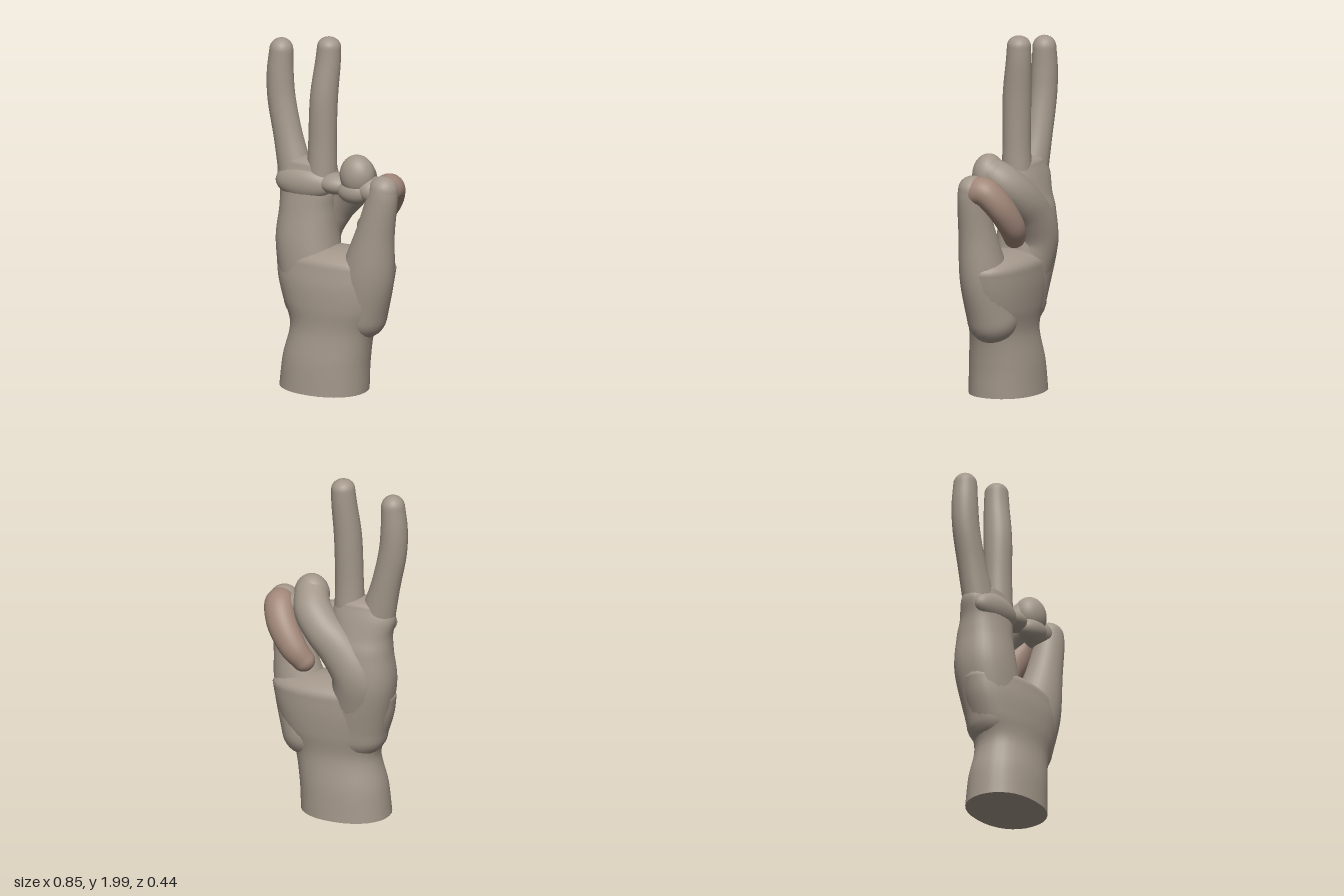
import * as THREE from 'three';

const SKIN = 0xa3978a, INNER = 0xa18779;

// Smooth loft through sections [x, y, z, halfWidth, halfDepth]; caps: 0 = flat, 1 = hemisphere.
function limb(name, sections, { caps = [1, 1], level = false, square = 1, color = SKIN } = {}) {
  const RINGS = 40, SIDES = 32, CAP = 8;
  const curve = new THREE.CatmullRomCurve3(
    sections.map(s => new THREE.Vector3(s[0], s[1], s[2])), false, 'catmullrom');
  const sizes = new THREE.CatmullRomCurve3(
    sections.map(s => new THREE.Vector3(s[3], s[4], 0)), false, 'catmullrom');
  const positions = [], index = [];
  const bend = v => Math.sign(v) * Math.abs(v) ** square;

  const ring = (t, scale, shift) => {
    const tangent = level ? new THREE.Vector3(0, 1, 0) : curve.getTangent(t);
    const side = new THREE.Vector3(1, 0, 0).addScaledVector(tangent, -tangent.x).normalize();
    const normal = new THREE.Vector3().crossVectors(side, tangent);
    const size = sizes.getPoint(t);
    const centre = curve.getPoint(t).addScaledVector(tangent, shift * Math.min(size.x, size.y));
    for (let j = 0; j < SIDES; j++) {
      const a = j / SIDES * Math.PI * 2;
      const p = centre.clone()
        .addScaledVector(side, size.x * scale * bend(Math.cos(a)))
        .addScaledVector(normal, size.y * scale * bend(Math.sin(a)));
      positions.push(p.x, p.y, p.z);
    }
  };
  const capRings = (t, round, sign) => {
    const steps = [];
    if (round === 0) steps.push([1, 0], [0, 0]);
    else for (let k = 1; k <= CAP; k++) {
      const a = k / CAP * Math.PI / 2;
      steps.push([Math.max(Math.cos(a), 1e-4), sign * round * Math.sin(a)]);
    }
    if (sign < 0) steps.reverse();
    steps.forEach(([scale, shift]) => ring(t, scale, shift));
  };

  capRings(0, caps[0], -1);
  for (let i = 0; i <= RINGS; i++) ring(i / RINGS, 1, 0);
  capRings(1, caps[1], 1);

  const count = positions.length / 3 / SIDES;
  for (let i = 0; i < count - 1; i++) for (let j = 0; j < SIDES; j++) {
    const a = i * SIDES + j, b = i * SIDES + (j + 1) % SIDES;
    index.push(a, a + SIDES, b, b, a + SIDES, b + SIDES);
  }
  const geometry = new THREE.BufferGeometry();
  geometry.setAttribute('position', new THREE.Float32BufferAttribute(positions, 3));
  geometry.setIndex(index);
  geometry.computeVertexNormals();
  return named(name, geometry, color);
}

function named(name, geometry, color = SKIN) {
  const mesh = new THREE.Mesh(geometry, new THREE.MeshStandardMaterial({ color }));
  mesh.name = name;
  return mesh;
}

// Soft pad of flesh
function pad(name, centre, radii, tilt = 0) {
  const mesh = named(name, new THREE.SphereGeometry(1, 32, 20));
  mesh.position.set(...centre);
  mesh.scale.set(...radii);
  mesh.rotation.z = tilt;
  return mesh;
}

export function createModel() {
  const hand = new THREE.Group();
  hand.name = 'hand';

  // Wrist widening into the heel of the hand
  hand.add(limb('wristAndHeel', [
    [-0.045, 0.005, 0.02, 0.255, 0.20],
    [-0.03, 0.18, 0.02, 0.25, 0.19],
    [0.005, 0.36, 0.018, 0.246, 0.168],
    [0.015, 0.5, 0.01, 0.305, 0.178],
    [0.015, 0.62, 0.002, 0.342, 0.18],
    [0.015, 0.73, -0.008, 0.36, 0.17],
  ], { caps: [0, 0.5], level: true, square: 0.92 }));

  // Two sides of the palm, with an opening left between them
  hand.add(limb('palmThumbSide', [
    [-0.11, 0.5, 0, 0.18, 0.15],
    [-0.17, 0.8, -0.025, 0.178, 0.165],
    [-0.17, 1.0, -0.035, 0.165, 0.145],
    [-0.165, 1.1, -0.03, 0.168, 0.125],
    [-0.17, 1.2, -0.025, 0.182, 0.105],
    [-0.165, 1.27, -0.022, 0.165, 0.085],
  ], { caps: [1, 0.45], level: true, square: 0.9 }));
  hand.add(limb('palmOuterSide', [
    [0.17, 0.45, 0, 0.15, 0.14],
    [0.23, 0.7, 0.025, 0.15, 0.13],
    [0.285, 0.95, 0.04, 0.108, 0.1],
    [0.325, 1.13, 0.045, 0.09, 0.082],
    [0.335, 1.2, 0.04, 0.082, 0.078],
  ], { caps: [1, 0.95] }));

  // Raised fingers
  hand.add(limb('raisedOuterFinger', [
    [-0.245, 1.2, -0.02, 0.1, 0.085],
    [-0.298, 1.4, -0.03, 0.082, 0.077],
    [-0.342, 1.6, -0.037, 0.079, 0.074],
    [-0.353, 1.75, -0.04, 0.075, 0.073],
    [-0.347, 1.885, -0.042, 0.066, 0.066],
  ]));
  hand.add(limb('raisedMiddleFinger', [
    [-0.078, 1.2, -0.015, 0.085, 0.085],
    [-0.076, 1.4, -0.015, 0.079, 0.078],
    [-0.07, 1.65, -0.02, 0.077, 0.08],
    [-0.055, 1.85, -0.038, 0.071, 0.071],
    [-0.05, 1.945, -0.043, 0.066, 0.066],
  ], { caps: [1, 0.83] }));

  // Outer finger folded over behind the palm, tip pointing down
  hand.add(limb('foldedOuterFinger', [
    [0.335, 1.185, 0.03, 0.08, 0.08],
    [0.33, 1.185, -0.04, 0.085, 0.08],
    [0.285, 1.1, -0.105, 0.085, 0.075],
    [0.21, 0.99, -0.135, 0.078, 0.07],
    [0.15, 0.915, -0.125, 0.065, 0.06],
  ], { color: INNER }));

  // Thumb rising diagonally across the back to meet the folded knuckle
  hand.add(limb('thumb', [
    [0.165, 1.265, 0.02, 0.095, 0.09],
    [0.125, 1.2, -0.055, 0.105, 0.1],
    [0.05, 1.12, -0.1, 0.11, 0.1],
    [-0.06, 1.01, -0.115, 0.12, 0.1],
    [-0.15, 0.86, -0.105, 0.135, 0.11],
    [-0.14, 0.68, -0.065, 0.14, 0.11],
  ]));

  // Folded knuckle and the flesh along the base of the fingers
  hand.add(pad('foldedKnuckle', [0.165, 1.255, 0.03], [0.1, 0.115, 0.088]));
  hand.add(pad('knuckleUnderside', [0.16, 1.165, 0.045], [0.105, 0.07, 0.07], 0.1));
  hand.add(pad('fingerBasePad', [-0.165, 1.165, 0.03], [0.175, 0.095, 0.075], 0.03));
  hand.add(pad('fingerWeb', [0.02, 1.18, 0.01], [0.1, 0.06, 0.08]));
  hand.add(pad('knuckleBridge', [0.25, 1.18, 0.02], [0.1, 0.075, 0.085], -0.3));

  return hand;
}
